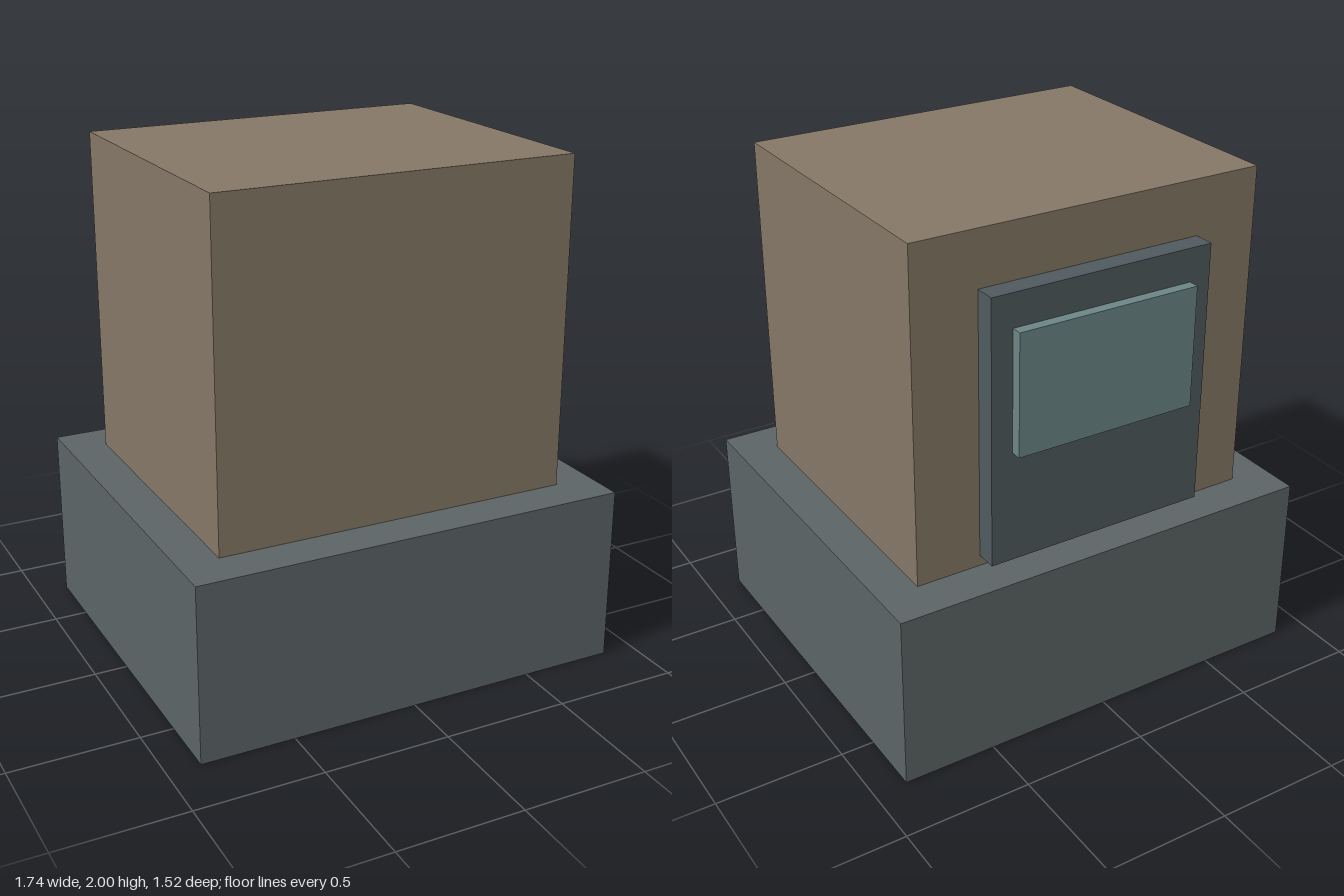
import * as THREE from 'three';

export function createModel() {
  const group = new THREE.Group();

  // Adds a box spanning the given ranges, centred on x = 0
  function addBox(name, color, width, [y0, y1], [z0, z1]) {
    const material = new THREE.MeshStandardMaterial({ color: 0xcccccc });
    material.color.set(color);
    const mesh = new THREE.Mesh(new THREE.BoxGeometry(width, y1 - y0, z1 - z0), material);
    mesh.position.set(0, (y0 + y1) / 2, (z0 + z1) / 2);
    mesh.name = name;
    group.add(mesh);
  }

  // Plinth and the cabin standing on it
  addBox('base', 0x5c6466, 1.74, [0, 0.7], [-0.76, 0.76]);
  addBox('cabin', 0x857766, 1.425, [0.7, 2], [-0.595, 0.595]);

  // Door on the back wall, with a raised window pane
  addBox('door', 0x505a5e, 0.91, [0.742, 1.785], [-0.678, -0.595]);
  addBox('windowPane', 0x6c8586, 0.74, [1.18, 1.655], [-0.72, -0.678]);

  return group;
}
